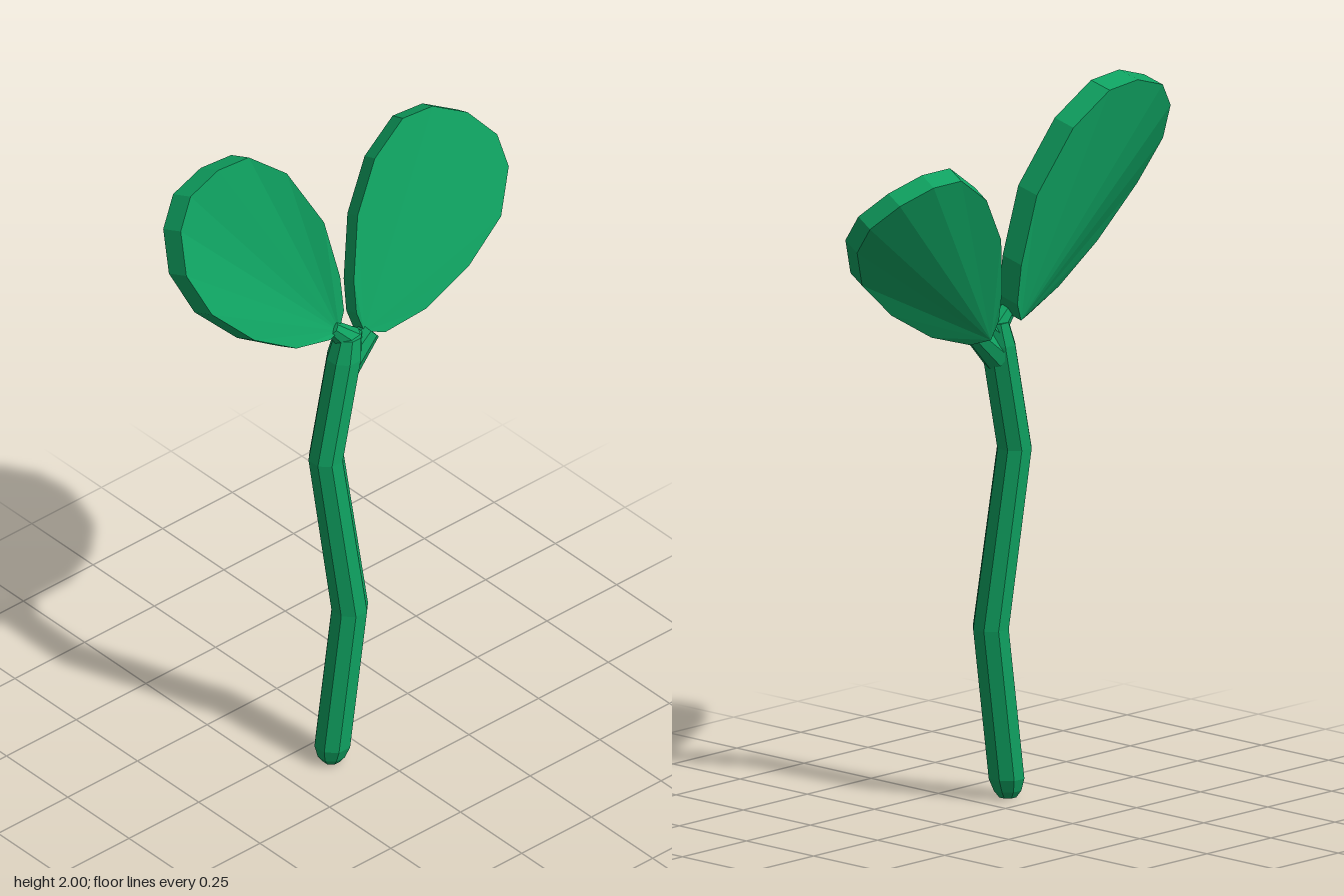
import * as THREE from 'three';

const green = new THREE.MeshStandardMaterial({ color: 0x0fa261, flatShading: true });
green.name = 'leaf green';

// Builds a mesh from a list of triangles given as corner points
function meshOf(name, triangles) {
  const geometry = new THREE.BufferGeometry();
  geometry.setAttribute('position', new THREE.Float32BufferAttribute(triangles.flat(2), 3));
  geometry.computeVertexNormals();
  const mesh = new THREE.Mesh(geometry, green);
  mesh.name = name;
  return mesh;
}

// Octagonal rod through level rings [x, y, z, radius], from bottom to top
function rod(name, rings) {
  const sides = 8, tris = [];
  const point = ([x, y, z, r], i) => {
    const a = ((i + 0.5) / sides) * Math.PI * 2;
    return [x + r * Math.sin(a), y, z + r * Math.cos(a)];
  };
  const last = rings[rings.length - 1];
  for (let i = 0; i < sides; i++) {
    for (let k = 0; k < rings.length - 1; k++) {
      const a = point(rings[k], i), b = point(rings[k], i + 1);
      const c = point(rings[k + 1], i + 1), d = point(rings[k + 1], i);
      tris.push([a, b, c], [a, c, d]);
    }
    tris.push([rings[0].slice(0, 3), point(rings[0], i + 1), point(rings[0], i)]);
    tris.push([last.slice(0, 3), point(last, i), point(last, i + 1)]);
  }
  return meshOf(name, tris);
}

// Thick leaf: an outline counterclockwise as seen from +x, and the offset to its underside
function leaf(name, outline, offset) {
  const tris = [];
  const under = outline.map((p) => p.map((v, i) => v + offset[i]));
  const n = outline.length;
  for (let i = 0; i < n; i++) {
    const j = (i + 1) % n;
    tris.push([outline[i], under[i], outline[j]], [outline[j], under[i], under[j]]);
    if (i > 0 && j > 0) {
      tris.push([outline[0], outline[i], outline[j]]);
      tris.push([under[0], under[j], under[i]]);
    }
  }
  return meshOf(name, tris);
}

// Short octagonal stalk between two points
function stalk(name, from, to, r0, r1) {
  const a = new THREE.Vector3(...from), b = new THREE.Vector3(...to);
  const dir = b.clone().sub(a);
  const mesh = new THREE.Mesh(new THREE.CylinderGeometry(r1, r0, dir.length(), 8), green);
  mesh.quaternion.setFromUnitVectors(new THREE.Vector3(0, 1, 0), dir.normalize());
  mesh.position.copy(a.add(b).multiplyScalar(0.5));
  mesh.name = name;
  return mesh;
}

export function createModel() {
  const group = new THREE.Group();
  group.name = 'seedling';

  // Bent stem with a chamfered foot
  group.add(rod('stem', [
    [0.09, 0, 0.103, 0.025], [0.09, 0.02, 0.102, 0.04], [0.09, 0.055, 0.098, 0.052],
    [0.09, 0.48, 0.037, 0.052], [0.048, 0.98, 0.085, 0.05],
    [0.041, 1.28, 0.014, 0.05], [0.04, 1.345, 0, 0.04],
  ]));

  // Stalks joining the leaves to the stem
  group.add(stalk('frontLeafStalk', [0.04, 1.32, -0.01], [0.03, 1.385, 0.05], 0.038, 0.022));
  group.add(stalk('backLeafStalk', [0.04, 1.25, 0.01], [0.045, 1.325, -0.075], 0.045, 0.03));

  // Tall front leaf
  group.add(leaf('frontLeaf', [
    [0.04, 1.37, 0.03], [0.03, 1.42, 0.005], [0.02, 1.53, 0.01], [0, 1.72, 0.05],
    [-0.05, 1.9, 0.14], [-0.08, 1.99, 0.25], [-0.08, 2, 0.36], [-0.073, 1.967, 0.465],
    [-0.045, 1.895, 0.525], [0.01, 1.79, 0.553], [0.06, 1.665, 0.505], [0.08, 1.525, 0.37],
    [0.08, 1.425, 0.22], [0.06, 1.375, 0.08],
  ], [-0.06, -0.02, 0.01]));

  // Lower back leaf
  group.add(leaf('backLeaf', [
    [0.05, 1.335, -0.05], [0.08, 1.325, -0.1], [0.11, 1.362, -0.22], [0.125, 1.445, -0.36],
    [0.12, 1.55, -0.48], [0.075, 1.66, -0.547], [0.022, 1.735, -0.552], [-0.04, 1.8, -0.5],
    [-0.08, 1.842, -0.41], [-0.088, 1.845, -0.31], [-0.077, 1.77, -0.2], [-0.045, 1.64, -0.11],
    [0.008, 1.48, -0.05], [0.03, 1.39, -0.04],
  ], [-0.053, -0.025, -0.01]));

  return group;
}
